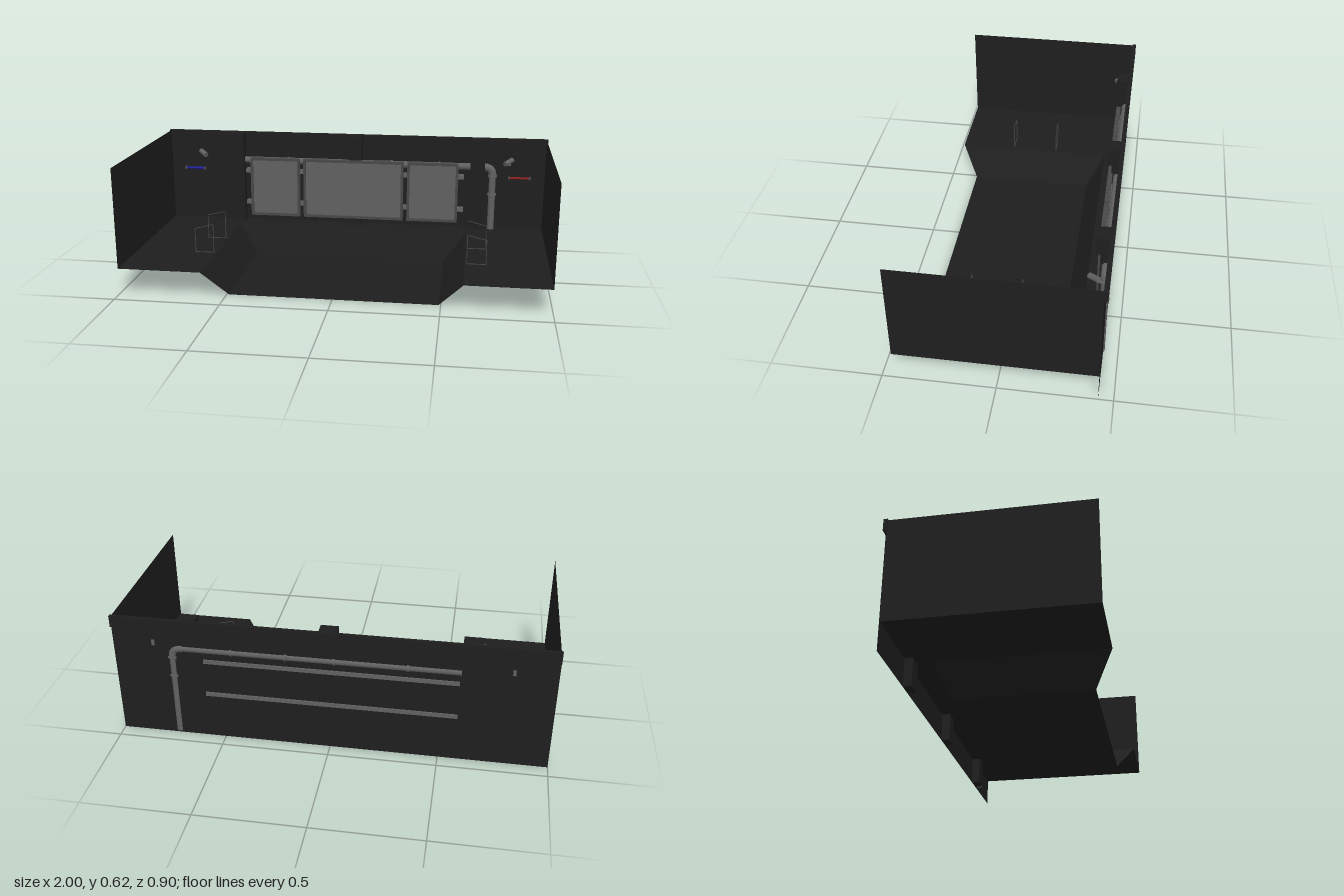
import * as THREE from 'three';

const DARK = new THREE.MeshStandardMaterial({ color: 0x1e1e1e, side: THREE.DoubleSide });
const STEEL = new THREE.MeshStandardMaterial({ color: 0x606060 });
const FRAME = new THREE.MeshStandardMaterial({ color: 0x484848 });
const BLUE = new THREE.MeshStandardMaterial({ color: 0x2222aa });
const RED = new THREE.MeshStandardMaterial({ color: 0x882222 });

function add(parent, name, geometry, material) {
  const mesh = new THREE.Mesh(geometry, material);
  mesh.name = name;
  parent.add(mesh);
  return mesh;
}

// Box given by its limits on each axis
function box(parent, name, [x0, x1], [y0, y1], [z0, z1], material) {
  const mesh = add(parent, name, new THREE.BoxGeometry(x1 - x0, y1 - y0, z1 - z0), material);
  mesh.position.set((x0 + x1) / 2, (y0 + y1) / 2, (z0 + z1) / 2);
  return mesh;
}

// Round bar between two points
function rod(parent, name, a, b, radius, material, sides = 16) {
  const p = new THREE.Vector3(...a), q = new THREE.Vector3(...b);
  const d = q.clone().sub(p);
  const mesh = add(parent, name, new THREE.CylinderGeometry(radius, radius, d.length(), sides), material);
  mesh.position.copy(p).add(q).multiplyScalar(0.5);
  mesh.quaternion.setFromUnitVectors(new THREE.Vector3(0, 1, 0), d.normalize());
  return mesh;
}

// Flat four-cornered sheet
function sheet(parent, name, a, b, c, d) {
  const g = new THREE.BufferGeometry();
  g.setAttribute('position', new THREE.Float32BufferAttribute([...a, ...b, ...c, ...a, ...c, ...d], 3));
  g.computeVertexNormals();
  return add(parent, name, g, DARK);
}

export function createModel() {
  const model = new THREE.Group();
  const W = 0.993, F = 0.45, B = -0.434, FLOOR = 0.133, TOP = 0.612;
  const pit = { x0: 0.6, x1: 0.49, z0: -0.33, z1: -0.245, front: 0.365 };

  // Floor with a sunken, sloped pit open to the front
  const floor = new THREE.Group();
  floor.name = 'floor';
  model.add(floor);
  sheet(floor, 'backFloor', [-pit.x0, FLOOR, pit.z0], [pit.x0, FLOOR, pit.z0], [pit.x0, FLOOR, B], [-pit.x0, FLOOR, B]);
  sheet(floor, 'pitBackSlope', [-pit.x1, 0, pit.z1], [pit.x1, 0, pit.z1], [pit.x0, FLOOR, pit.z0], [-pit.x0, FLOOR, pit.z0]);
  sheet(floor, 'pitFloor', [-pit.x1, 0, pit.front], [pit.x1, 0, pit.front], [pit.x1, 0, pit.z1], [-pit.x1, 0, pit.z1]);
  for (const s of [-1, 1]) {
    // Corner order flips with the side so every sheet faces inwards
    const side = (name, ...p) => sheet(floor, name, ...(s > 0 ? p : p.reverse()));
    side('sideFloor', [s * pit.x0, FLOOR, F], [s * W, FLOOR, F], [s * W, FLOOR, B], [s * pit.x0, FLOOR, B]);
    side('pitSideSlope', [s * pit.x1, 0, pit.front], [s * pit.x0, FLOOR, F], [s * pit.x0, FLOOR, pit.z0], [s * pit.x1, 0, pit.z1]);
    side('sideWall', [s * W, FLOOR, F], [s * W, TOP, F], [s * W, TOP, B], [s * W, FLOOR, B]);
  }

  // Back wall, top beam and columns
  sheet(model, 'backWall', [-1, 0, B], [1, 0, B], [1, TOP, B], [-1, TOP, B]);
  box(model, 'topBeam', [-1, 1], [0.56, 0.615], [-0.449, -0.43], DARK);
  for (const x of [-0.624, 0.006, 0.648]) {
    box(model, 'column', [x - 0.037, x + 0.037], [0, 0.56], [-0.433, -0.395], DARK);
    box(model, 'columnHead', [x - 0.041, x + 0.041], [0.53, 0.615], [-0.433, -0.373], DARK);
  }

  // Framed panels hung on two rails
  const panels = new THREE.Group();
  panels.name = 'wallPanels';
  model.add(panels);
  for (const y of [0.41, 0.235])
    box(panels, 'panelRail', [-0.58, 0.58], [y - 0.01, y + 0.01], [-0.44, -0.4], STEEL);
  for (const [x0, x1] of [[-0.55, -0.285], [-0.265, 0.265], [0.285, 0.55]]) {
    const y0 = 0.17, y1 = 0.485, t = 0.013;
    box(panels, 'panel', [x0 + t, x1 - t], [y0 + t, y1 - t], [-0.4, -0.388], STEEL);
    for (const x of [x0, x1 - t]) box(panels, 'panelFrameSide', [x, x + t], [y0, y1], [-0.402, -0.38], FRAME);
    for (const y of [y0, y1 - t]) box(panels, 'panelFrameEdge', [x0 + t, x1 - t], [y, y + t], [-0.402, -0.38], FRAME);
  }

  // Water pipe: long run, elbow and drop
  const pipe = new THREE.Group();
  pipe.name = 'pipe';
  model.add(pipe);
  const px = 0.726, py = 0.465, pz = -0.423, r = 0.0175, bend = 0.045;
  rod(pipe, 'pipeDrop', [px, 0.01, pz], [px, py - bend, pz], r, STEEL);
  rod(pipe, 'pipeRun', [-0.585, py, pz], [px - bend, py, pz], r, STEEL);
  const elbow = new THREE.QuadraticBezierCurve3(
    new THREE.Vector3(px - bend, py, pz), new THREE.Vector3(px, py, pz), new THREE.Vector3(px, py - bend, pz));
  add(pipe, 'pipeElbow', new THREE.TubeGeometry(elbow, 12, 0.02, 16), STEEL);
  for (const y of [0.32, 0.417])
    rod(pipe, 'pipeCollar', [px, y - 0.005, pz], [px, y + 0.005, pz], 0.023, STEEL);
  for (const x of [-0.35, -0.02, 0.2, 0.45, px - bend])
    rod(pipe, 'pipeCollar', [x - 0.005, py, pz], [x + 0.005, py, pz], 0.021, STEEL);

  for (const s of [-1, 1]) {
    // Spotlight on a wall bracket, aimed down and inwards
    const lamp = new THREE.Group();
    lamp.name = s > 0 ? 'leftSpotlight' : 'rightSpotlight';
    model.add(lamp);
    box(lamp, 'lampPlate', [s * 0.81 - 0.007, s * 0.81 + 0.007], [0.475, 0.503], [-0.437, -0.425], STEEL);
    rod(lamp, 'lampArm', [s * 0.81, 0.485, -0.43], [s * 0.81, 0.49, -0.395], 0.005, STEEL, 8);
    rod(lamp, 'lampBody', [s * 0.823, 0.512, -0.4], [s * 0.785, 0.497, -0.36], 0.013, STEEL);

    // Coloured light bar with end caps
    const bar = new THREE.Group();
    bar.name = s > 0 ? 'leftLightBar' : 'rightLightBar';
    model.add(bar);
    rod(bar, 'lightTube', [s * 0.812, 0.41, -0.425], [s * 0.917, 0.41, -0.425], 0.006, s > 0 ? RED : BLUE, 10);
    for (const x of [0.812, 0.917])
      box(bar, 'lightCap', [s * x - 0.005, s * x + 0.005], [0.403, 0.417], [-0.433, -0.417], FRAME);

    // Thin wire railing beside the pit
    const railing = new THREE.Group();
    railing.name = s > 0 ? 'leftRailing' : 'rightRailing';
    model.add(railing);
    const corners = [[0.7, 0.137], [0.7, 0.255], [0.61, 0.278], [0.61, 0.137]];
    for (const z of [-0.06, 0.17])
      corners.forEach(([x, y], i) => {
        const [x2, y2] = corners[(i + 1) % 4];
        rod(railing, 'railingBar', [s * x, y, z], [s * x2, y2, z], 0.002, FRAME, 6);
      });
    for (const [x, y] of corners.slice(1, 3))
      rod(railing, 'handrail', [s * x, y, -0.06], [s * x, y, 0.17], 0.002, DARK, 6);
  }
  return model;
}
